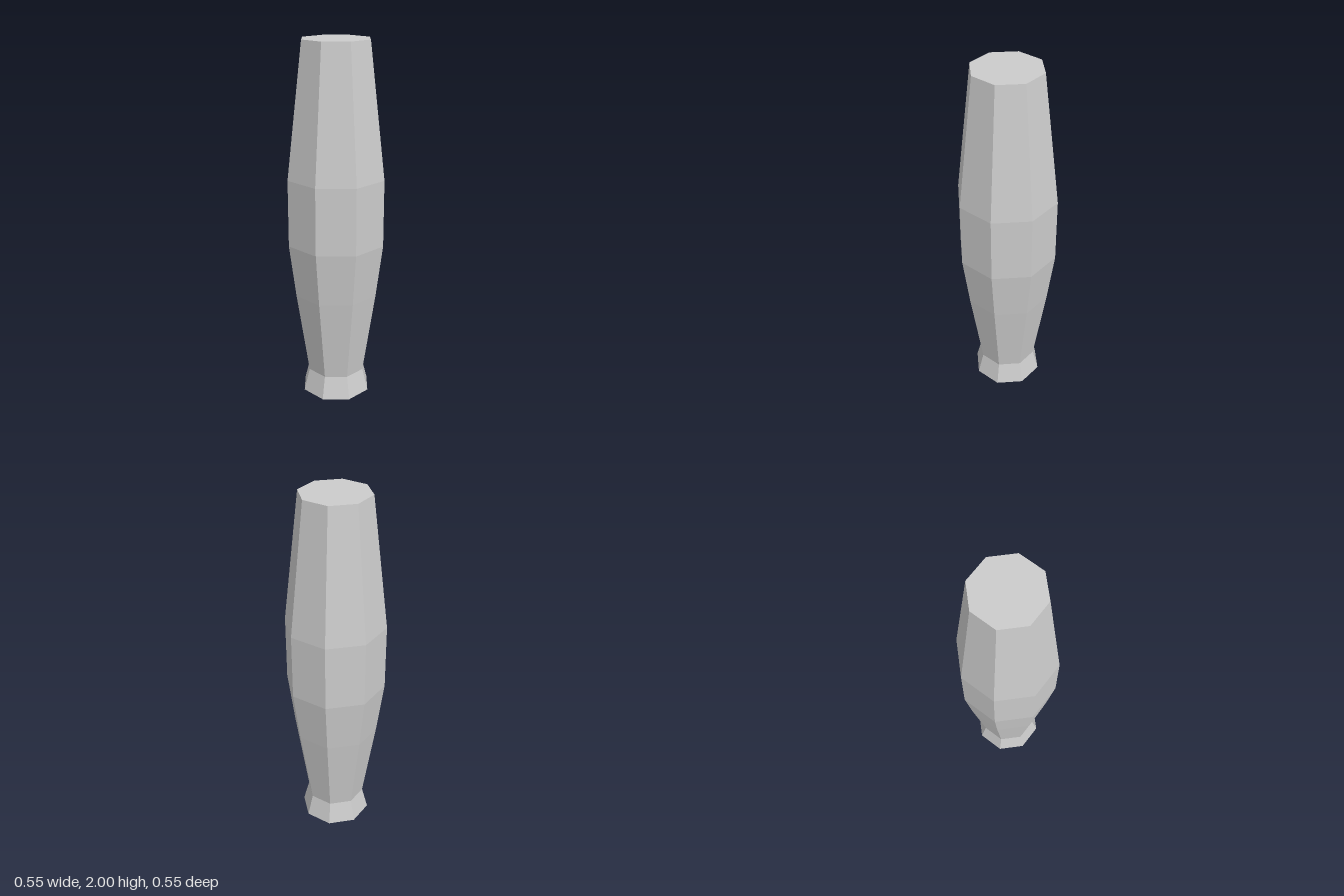
import * as THREE from 'three';

export function createModel() {
  const group = new THREE.Group();
  group.name = 'handle';
  const material = new THREE.MeshStandardMaterial({ color: 0xcccccc, flatShading: true });

  // Closed profile from base centre to top centre: flared foot, neck, belly, tapered top
  const profile = [
    [0, 0], [0.198, 0], [0.165, 0.128], [0.238, 0.605],
    [0.277, 0.904], [0.277, 1.274], [0.19, 2], [0, 2],
  ].map(([r, y]) => new THREE.Vector2(r, y));

  // Eight-sided grip with corners on the x and z axes
  const grip = new THREE.Mesh(new THREE.LatheGeometry(profile, 8), material);
  grip.name = 'octagonalGrip';
  group.add(grip);
  return group;
}
